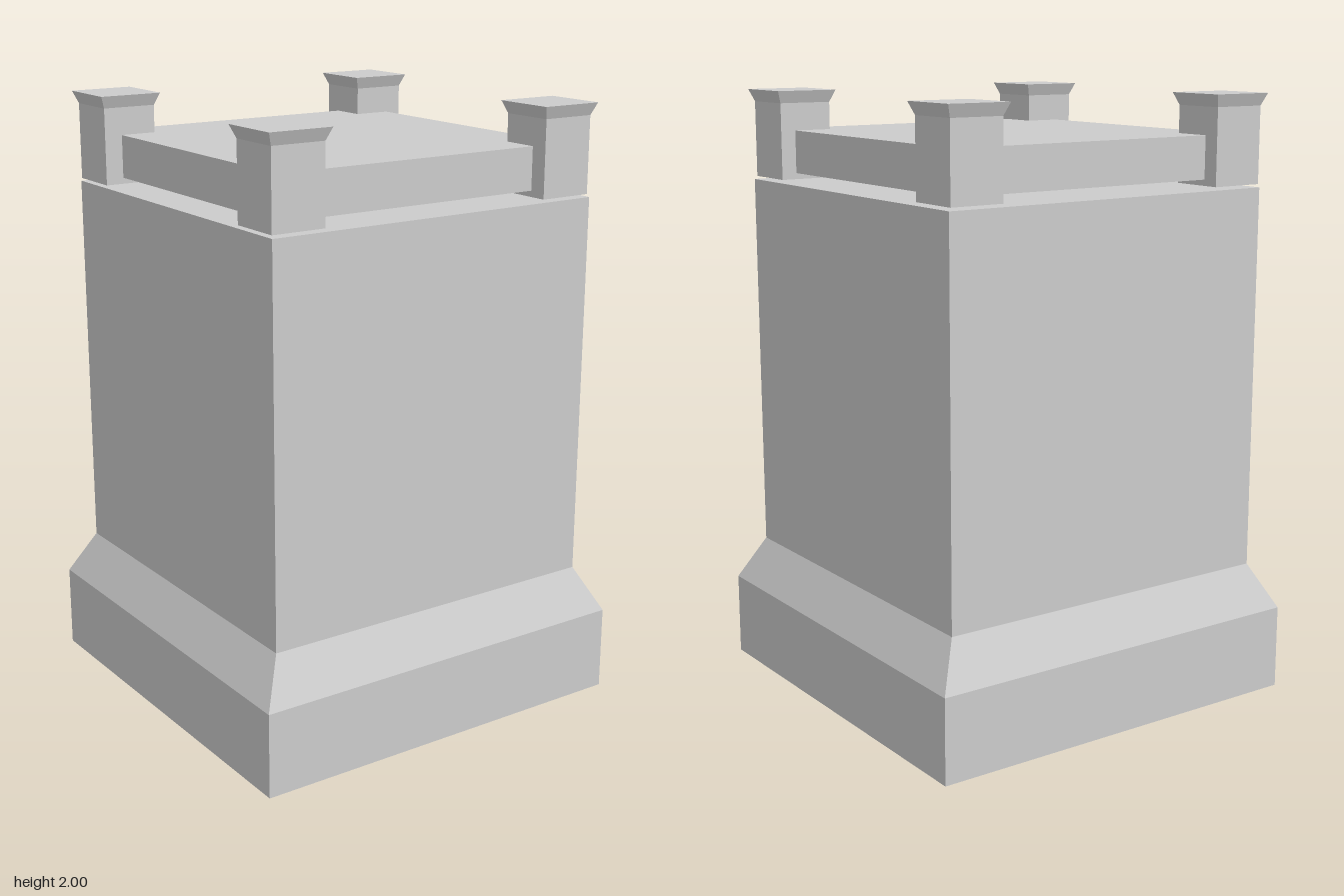
import * as THREE from 'three';

const material = new THREE.MeshStandardMaterial({ color: 0xcccccc, flatShading: true });

// Square solid turned from a profile of [half width, height] points, bottom to top
function squareTurned(name, profile) {
  const points = profile.map(([half, y]) => new THREE.Vector2(half * Math.SQRT2, y));
  const geometry = new THREE.LatheGeometry(points, 4, Math.PI / 4).toNonIndexed();
  geometry.computeVertexNormals();
  const mesh = new THREE.Mesh(geometry, material);
  mesh.name = name;
  return mesh;
}

export function createModel() {
  const model = new THREE.Group();
  model.name = 'pedestalTower';

  // Plinth with a sloped shoulder and a straight shaft
  model.add(squareTurned('towerBody', [
    [0, 0], [0.675, 0], [0.675, 0.28], [0.598, 0.43], [0.598, 1.7], [0, 1.7],
  ]));

  // Slab held just above the shaft
  const slab = squareTurned('topSlab', [[0, 1.73], [0.537, 1.73], [0.537, 1.87], [0, 1.87]]);
  model.add(slab);

  // Corner posts with flared caps, set very slightly unevenly
  const corners = [
    ['frontLeftPost', 0.498, 0.505],
    ['frontRightPost', -0.507, 0.505],
    ['backLeftPost', 0.502, -0.507],
    ['backRightPost', -0.507, -0.5],
  ];
  for (const [name, x, z] of corners) {
    const post = squareTurned(name, [
      [0, 1.71], [0.091, 1.71], [0.091, 1.96], [0.107, 2], [0, 2],
    ]);
    post.position.set(x, 0, z);
    model.add(post);
  }

  return model;
}
